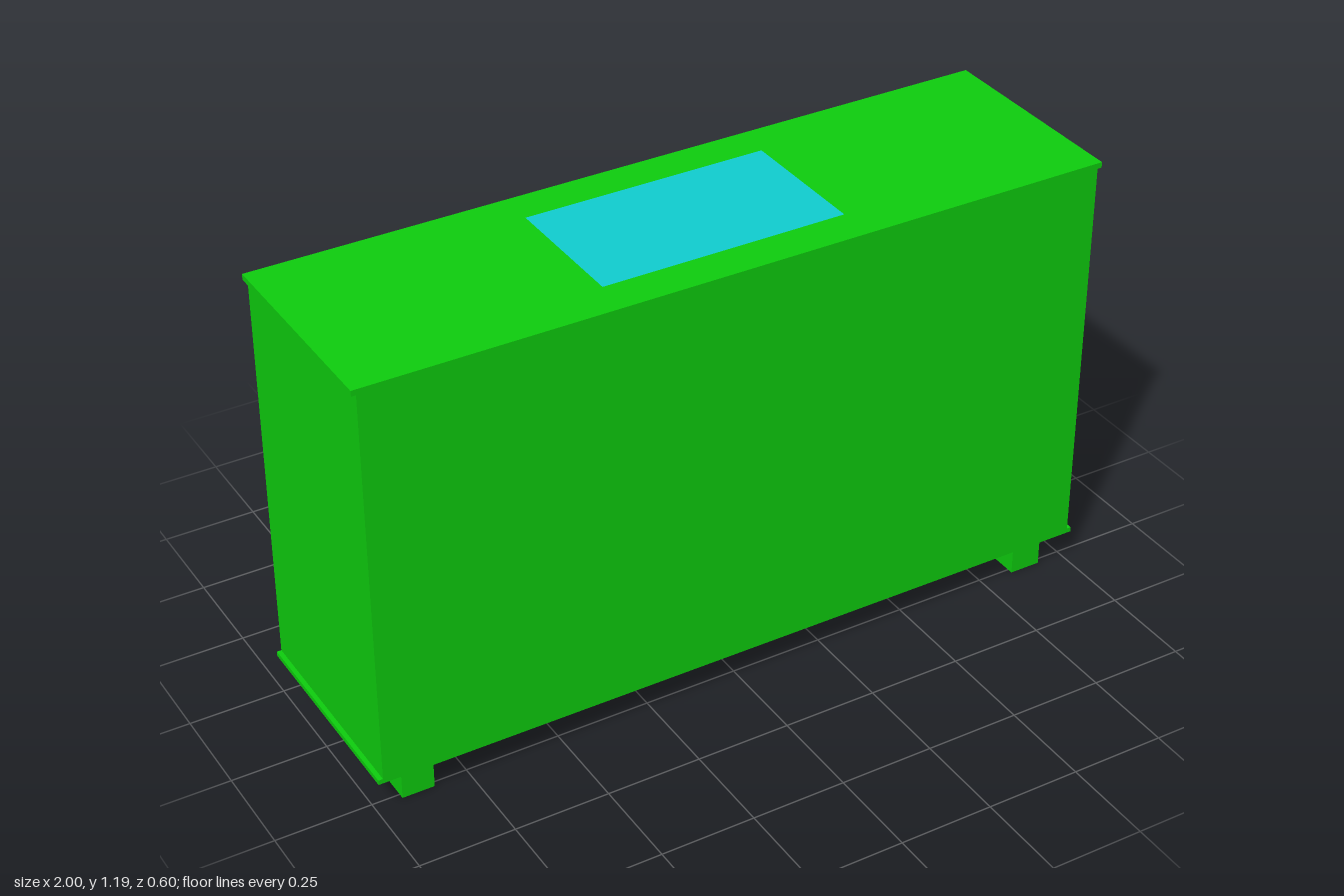
import * as THREE from 'three';

const green = new THREE.MeshStandardMaterial({ color: 0x0ecf0e });
const cyan = new THREE.MeshStandardMaterial({ color: 0x10cfd2 });

export function createModel() {
  const model = new THREE.Group();

  // Box given by its limits on each axis
  function box(name, [x0, x1], [y0, y1], [z0, z1], material = green, parent = model) {
    const mesh = new THREE.Mesh(new THREE.BoxGeometry(x1 - x0, y1 - y0, z1 - z0), material);
    mesh.position.set((x0 + x1) / 2, (y0 + y1) / 2, (z0 + z1) / 2);
    mesh.name = name;
    parent.add(mesh);
    return mesh;
  }
  // Limits mirrored across x = 0 when side is -1
  const span = (side, a, b) => (side > 0 ? [a, b] : [-b, -a]);

  const back = -0.272, front = 0.298;
  const floorY = 0.108, ceilY = 1.172, topY = 1.187;
  const openLow = 0.14, openHigh = 1.14;

  // Top board with an opening for the inset panel
  const board = new THREE.Shape();
  board.moveTo(-1, -front).lineTo(1, -front).lineTo(1, -back).lineTo(-1, -back).closePath();
  const opening = new THREE.Path();
  opening.moveTo(-0.325, -0.195).lineTo(-0.325, 0.172).lineTo(0.325, 0.172).lineTo(0.325, -0.195).closePath();
  board.holes.push(opening);
  const boardGeometry = new THREE.ExtrudeGeometry(board, { depth: topY - ceilY, bevelEnabled: false });
  boardGeometry.rotateX(-Math.PI / 2);
  const topBoard = new THREE.Mesh(boardGeometry, green);
  topBoard.name = 'topBoard';
  topBoard.position.y = ceilY;
  model.add(topBoard);
  box('topGlass', [-0.325, 0.325], [ceilY, topY], [-0.172, 0.195], cyan);

  // Carcass
  box('bottomBoard', [-1, 1], [0.095, floorY], [back, front]);
  box('frontPanel', [-0.97, 0.97], [floorY, ceilY], [front - 0.015, front]);
  box('topRail', [-0.97, 0.97], [openHigh, ceilY], [back, back + 0.02]);
  box('bottomRail', [-0.97, 0.97], [floorY, openLow], [back, back + 0.02]);

  for (const side of [1, -1]) {
    box('sidePanel', span(side, 0.97, 0.988), [floorY, ceilY], [back, front]);
    box('stile', span(side, 0.95, 0.97), [openLow, openHigh], [back, back + 0.02]);
    box('divider', span(side, 0.37, 0.385), [floorY, ceilY], [back + 0.014, front - 0.015]);
    box('glassDoor', span(side, 0.377, 0.95), [openLow, openHigh], [back, back + 0.012], cyan);
    box('foot', span(side, 0.842, 0.927), [0, 0.095], [-0.235, 0.265]);
    box('cupboardDoor', span(side, 0, 0.375), [openLow, 0.832], [back, back + 0.014]);

    // Small hinge plates on the glass doors
    const plates = [[0.87, 0.935, 1.12], [0.39, 0.44, 1.12], [0.87, 0.935, 0.13]];
    for (const [x0, x1, y] of plates) {
      const low = y < 0.5;
      box('hingePlate', span(side, x0, x1), low ? [y, y + 0.016] : [y + 0.014, y + 0.028],
        [back - 0.004, back]);
      const tab = x0 > 0.5 ? [x0, x0 + 0.02] : [x0, x0 + 0.018];
      box('hingeTab', span(side, ...tab), [y, y + 0.03], [back - 0.003, back]);
    }
  }

  // Drawer above the cupboard doors
  box('drawerFront', [-0.375, 0.375], [0.838, openHigh], [back, back + 0.014]);
  box('drawerShelf', [-0.37, 0.37], [0.825, 0.845], [back + 0.014, front - 0.015]);

  // Bracket handles: a bar on two posts
  for (const [x, y] of [[0, 1.078], [0.051, 0.756], [-0.051, 0.756]]) {
    const handle = new THREE.Group();
    handle.name = 'handle';
    handle.position.set(x, y, 0);
    box('handleBar', [-0.031, 0.031], [-0.006, 0.006], [-0.299, -0.289], green, handle);
    for (const side of [1, -1]) {
      box('handlePost', span(side, 0.021, 0.031), [-0.006, 0.006], [-0.289, back], green, handle);
    }
    model.add(handle);
  }
  return model;
}
